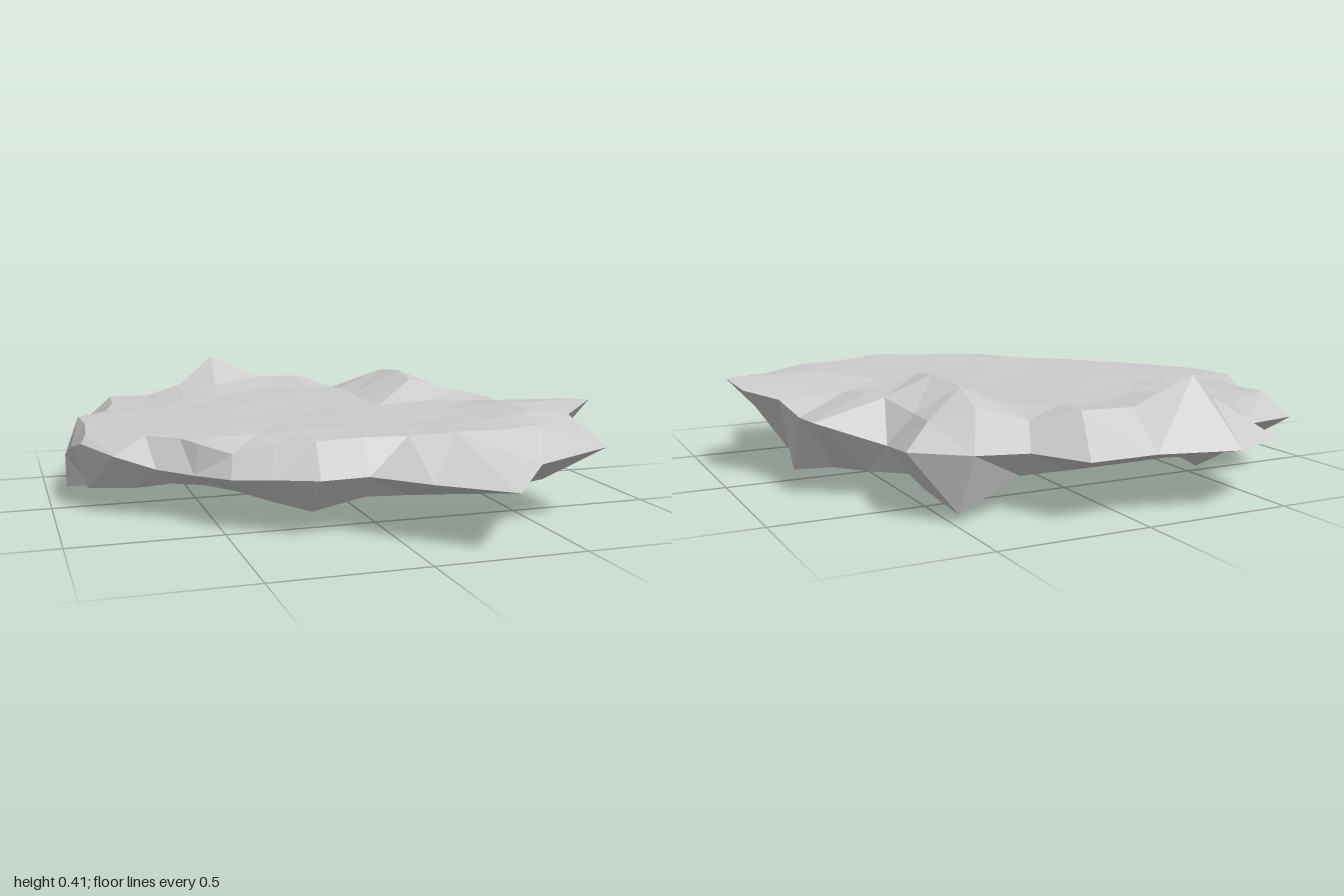
import * as THREE from 'three';

// Three rings of 32 points [x, y, z], clockwise from the back left corner,
// eight steps along each of the back, right, front and left sides.
const topRing = [
  -.72, .29, -.61, -.57, .28, -.66, -.42, .31, -.73, -.27, .41, -.82, -.07, .32, -.79, .10, .32, -.77, .22, .28, -.66, .39, .33, -.64,
  .52, .29, -.58, .51, .29, -.45, .55, .32, -.30, .57, .32, -.18, .60, .30, -.04, .62, .32, .10, .61, .335, .25, .58, .335, .42,
  .57, .31, .56, .40, .31, .60, .22, .32, .64, .07, .31, .61, -.07, .31, .59, -.22, .30, .56, -.34, .28, .50, -.46, .25, .44,
  -.55, .27, .35, -.60, .28, .28, -.70, .28, .20, -.88, .27, .05, -.87, .28, -.08, -.88, .28, -.23, -.77, .28, -.33, -.73, .285, -.47,
];
const rimRing = [
  -.81, .20, -.66, -.58, .20, -.70, -.54, .20, -.91, -.33, .20, -1, -.07, .20, -.93, .16, .20, -.93, .26, .20, -.75, .46, .22, -.78,
  .62, .22, -.65, .59, .19, -.42, .79, .26, -.31, .79, .25, -.16, .82, .29, -.03, .91, .31, .09, .93, .33, .24, .75, .31, .41,
  .73, .25, .70, .47, .22, .75, .27, .20, 1, .07, .20, .83, -.08, .20, .67, -.24, .20, .68, -.37, .19, .58, -.48, .18, .50,
  -.57, .17, .36, -.68, .18, .28, -.81, .22, .22, -.90, .24, .08, -.92, .20, -.08, -.93, .14, -.25, -.90, .14, -.39, -.84, .17, -.52,
];
const bottomRing = [
  -.57, .005, -.45, -.50, .04, -.50, -.41, .08, -.57, -.29, .11, -.66, -.08, .12, -.70, .10, .12, -.70, .25, .11, -.66, .48, .03, -.71,
  .53, .08, -.57, .53, .10, -.45, .62, .09, -.32, .69, .08, -.18, .78, .05, -.04, .75, .08, .08, .70, .08, .23, .61, .12, .40,
  .58, .12, .55, .42, .11, .58, .25, .11, .62, .07, .115, .60, -.07, .12, .60, -.24, .08, .58, -.35, .10, .49, -.44, .12, .41,
  -.52, .14, .34, -.62, .13, .26, -.74, .10, .18, -.88, .08, .05, -.86, .06, -.08, -.93, .02, -.25, -.82, .016, -.33, -.69, .012, -.40,
];

const N = 8;
const rows = [0, .18, .3, .41, .52, .63, .75, .87, 1];
const at = (ring, k) => new THREE.Vector3().fromArray(ring, (k % 32) * 3);

// Point of the grid stretched between the four sides of a ring,
// its height settling to a level in the middle.
function gridPoint(ring, level, i, j) {
  const u = i / N, v = rows[j];
  const p = new THREE.Vector3();
  const add = (k, w) => p.addScaledVector(at(ring, k), w);
  add(i, 1 - v);
  add(24 - i, v);
  add(32 - j, 1 - u);
  add(8 + j, u);
  add(0, -(1 - u) * (1 - v));
  add(8, -u * (1 - v));
  add(16, -u * v);
  add(24, -(1 - u) * v);
  const edge = Math.max(Math.abs(u - 0.5), Math.abs(v - 0.5)) * 2;
  const ripple = 0.006 * Math.sin(i * 2.3 + j * 1.7) * (1 - edge);
  p.y = THREE.MathUtils.lerp(level, p.y, edge ** 4) + ripple;
  return p;
}

// Top grid with a short ridge near the back right edge
function topPoint(i, j) {
  const p = gridPoint(topRing, 0.3, i, j);
  const onRim = i % N === 0 || j % N === 0;
  if (!onRim) p.y += 0.075 * Math.exp(-(((p.x - 0.41) / 0.12) ** 2) - ((p.z + 0.37) / 0.25) ** 4);
  return p;
}

const bottomPoint = (i, j) => gridPoint(bottomRing, 0.125, i, j);

// Each four-cornered facet is split along its shorter diagonal
function facetMesh(name, quads) {
  const points = quads.flatMap(([a, b, c, d]) =>
    a.distanceTo(c) < b.distanceTo(d) ? [a, b, c, a, c, d] : [a, b, d, b, c, d]);
  const geometry = new THREE.BufferGeometry().setFromPoints(points);
  geometry.computeVertexNormals();
  const mesh = new THREE.Mesh(geometry, new THREE.MeshStandardMaterial({ color: 0xcccccc, flatShading: true }));
  mesh.name = name;
  return mesh;
}

// Broad face of the slab, facing up or down
function face(name, point, up) {
  const quads = [];
  for (let i = 0; i < N; i++) {
    for (let j = 0; j < N; j++) {
      const quad = [point(i, j), point(i, j + 1), point(i + 1, j + 1), point(i + 1, j)];
      quads.push(up ? quad : quad.reverse());
    }
  }
  return facetMesh(name, quads);
}

// Band of facets round the edge
function band(name, lower, upper) {
  const quads = [];
  for (let k = 0; k < 32; k++) {
    quads.push([at(lower, k), at(upper, k), at(upper, k + 1), at(lower, k + 1)]);
  }
  return facetMesh(name, quads);
}

export function createModel() {
  const slab = new THREE.Group();
  slab.name = 'rockSlab';
  slab.add(
    face('topFace', topPoint, true),
    band('upperEdge', rimRing, topRing),
    band('lowerEdge', bottomRing, rimRing),
    face('underside', bottomPoint, false),
  );
  return slab;
}
